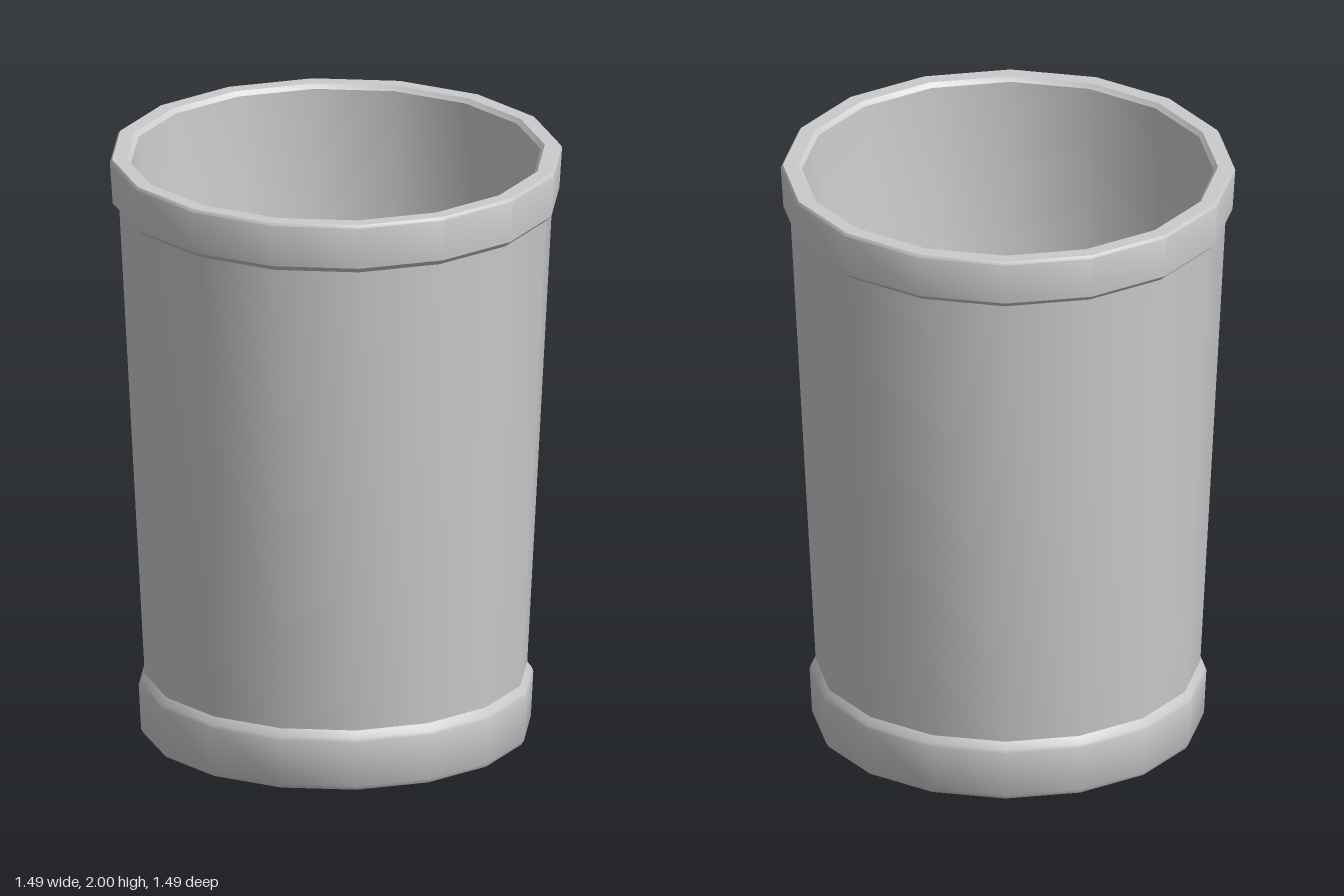
import * as THREE from 'three';
import { toCreasedNormals } from 'three/addons/utils/BufferGeometryUtils.js';

const SIDES = 16;
const material = new THREE.MeshStandardMaterial({ color: 0xcccccc });

// Revolve a [radius, height] profile, smooth around but creased at hard steps
function band(name, profile) {
  const points = profile.map(([r, y]) => new THREE.Vector2(r, y));
  const geometry = toCreasedNormals(new THREE.LatheGeometry(points, SIDES).toNonIndexed(), 0.7);
  const mesh = new THREE.Mesh(geometry, material);
  mesh.name = name;
  return mesh;
}

export function createModel() {
  const group = new THREE.Group();
  group.name = 'cup';
  group.add(
    // Closed underside, thick foot band and its bevel
    band('base', [[0, 0], [0.635, 0], [0.644, 0.015], [0.652, 0.17], [0.648, 0.182], [0.632, 0.205]]),
    // Tapered outer wall
    band('outerWall', [[0.632, 0.205], [0.716, 1.828]]),
    // Overhanging rim with bevelled edges
    band('rim', [[0.716, 1.828], [0.738, 1.848], [0.747, 1.99], [0.74, 2], [0.69, 2], [0.677, 1.985]]),
    // Inside wall and floor
    band('interior', [[0.677, 1.985], [0.583, 0.135], [0.57, 0.12], [0, 0.12]])
  );
  return group;
}
